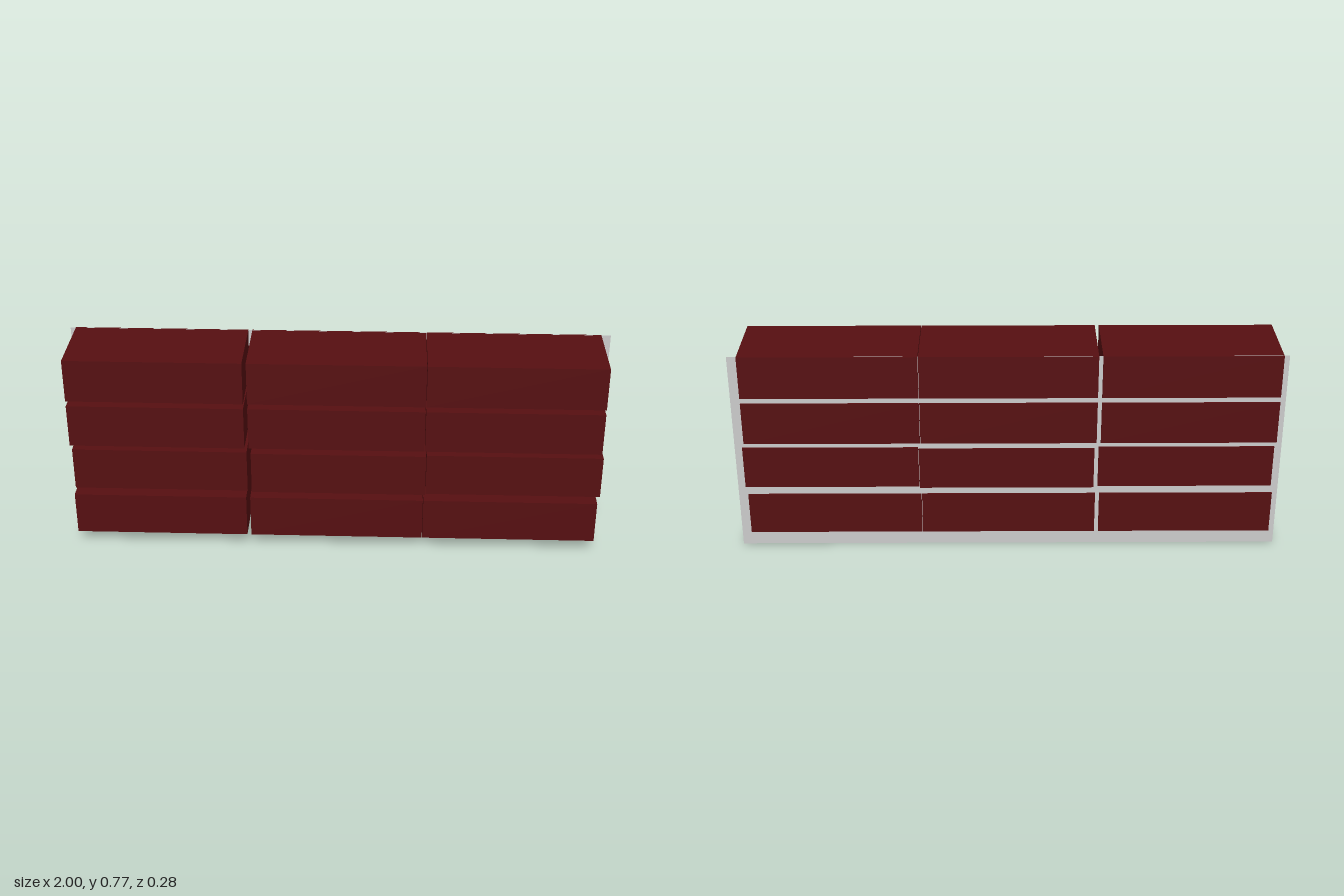
import * as THREE from 'three';

export function createModel() {
  const model = new THREE.Group();
  const brickMaterial = new THREE.MeshStandardMaterial({ color: 0x560f11 });
  const mortarMaterial = new THREE.MeshStandardMaterial({ color: 0xcccccc, side: THREE.DoubleSide });

  // Thin mortar sheet just inside the back faces of the bricks
  const width = 2, height = 0.773;
  const mortar = new THREE.Mesh(new THREE.PlaneGeometry(width, height), mortarMaterial);
  mortar.name = 'mortarSheet';
  mortar.position.set(0, height / 2, -0.137);
  model.add(mortar);

  // Four courses of three bricks, the second laid slightly out of line
  const brickGeometry = new THREE.BoxGeometry(0.643, 0.163, 0.283);
  const columns = [-0.659, -0.001, 0.644];
  const courses = [
    { y: 0.134, shift: 0, drop: 0 },
    { y: 0.328, shift: 0.007, drop: 0.005 },
    { y: 0.508, shift: 0, drop: 0 },
    { y: 0.691, shift: 0, drop: 0 },
  ];
  courses.forEach(({ y, shift, drop }, row) => {
    const course = new THREE.Group();
    course.name = `brickCourse${row + 1}`;
    columns.forEach((x, column) => {
      const brick = new THREE.Mesh(brickGeometry, brickMaterial);
      brick.name = `brick${column + 1}`;
      // The middle brick of the uneven course sits a little low
      brick.position.set(x + shift, column === 1 ? y - drop : y, 0);
      course.add(brick);
    });
    model.add(course);
  });

  return model;
}
